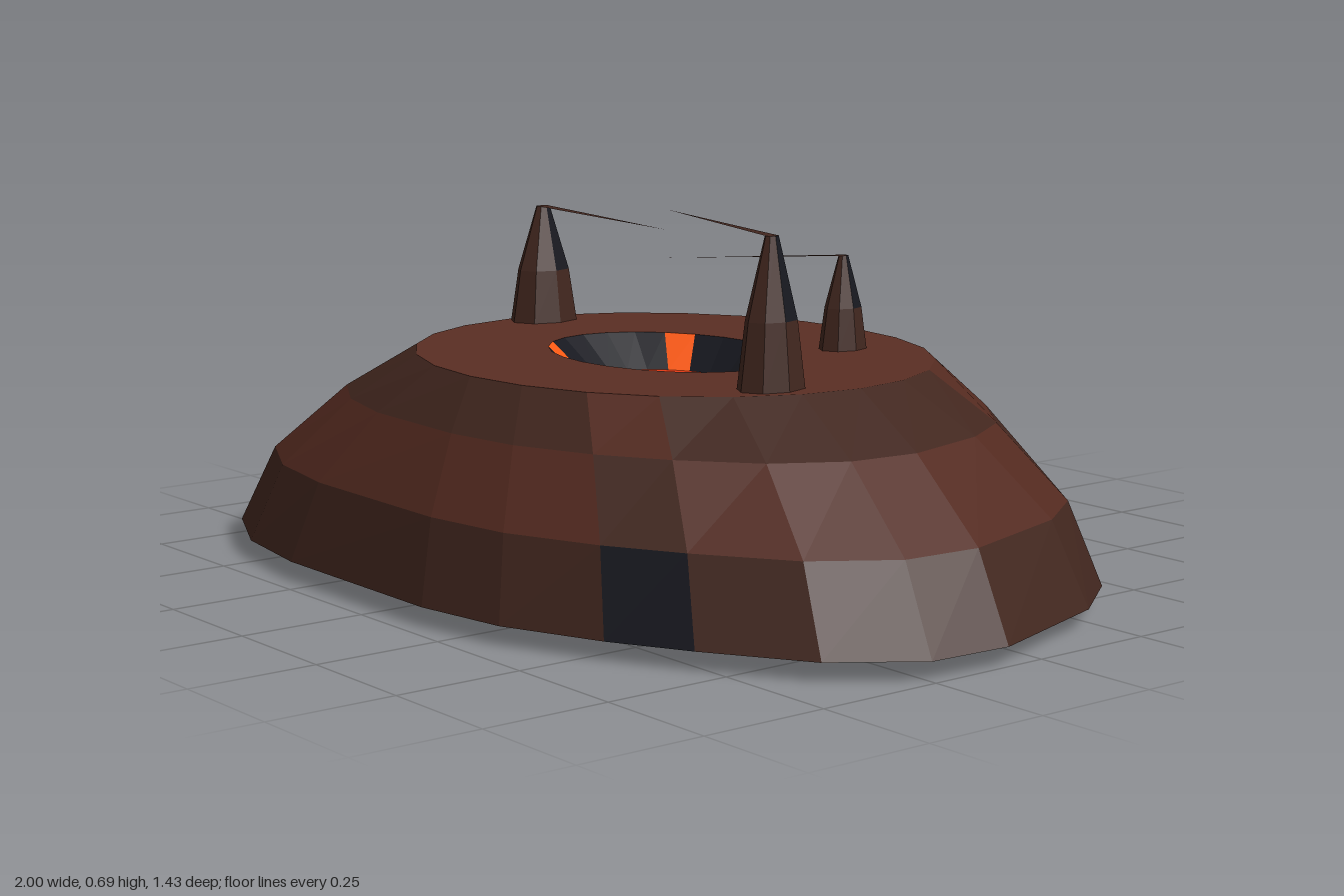
import * as THREE from 'three';

const V = (x, y, z) => new THREE.Vector3(x, y, z);
const mat = (color) => new THREE.MeshStandardMaterial({ color, flatShading: true, side: THREE.DoubleSide });
const M = {
  top: mat(0x5a2e23), light: mat(0x52291f), dark: mat(0x41261e), base: mat(0x2c1613),
  obsidian: mat(0x17181f), lava: mat(0xe63a14), glow: mat(0xff5a14),
};

// Ring of points on an ellipse; angles run from +x towards +z
const ellipse = (n, cx, cz, rx, rz, y, start = 0) => Array.from({ length: n }, (_, i) => {
  const a = start + (i / n) * Math.PI * 2;
  return V(cx + rx * Math.cos(a), y, cz + rz * Math.sin(a));
});

// Faceted band between two closed rings, keeping only the segments that pass
function band(lower, upper, material, name, keep = () => true) {
  const n = lower.length, pos = [];
  const tri = (a, b, c) => {
    if (b.clone().sub(a).cross(c.clone().sub(a)).length() > 1e-9)
      for (const p of [a, b, c]) pos.push(p.x, p.y, p.z);
  };
  for (let i = 0; i < n; i++) {
    if (!keep(i)) continue;
    const j = (i + 1) % n;
    tri(lower[i], upper[i], lower[j]);
    tri(upper[i], upper[j], lower[j]);
  }
  const g = new THREE.BufferGeometry();
  g.setAttribute('position', new THREE.Float32BufferAttribute(pos, 3));
  g.computeVertexNormals();
  const mesh = new THREE.Mesh(g, material);
  mesh.name = name;
  return mesh;
}

// Rock spike with a flat sliver reaching from its tip to the crater axis
function spike(x, z, rx, rz, topY) {
  const g = new THREE.Group();
  g.name = 'rockSpike';
  const baseY = 0.41, h = topY - baseY;
  const ring = (s, t) => ellipse(8, x, z, rx * s, rz * s, baseY + h * t);
  const foot = ring(1, 0), mid = ring(0.76, 0.46), tip = ring(0.2, 1);
  const marked = (i) => i % 4 === 3;
  g.add(band(foot, mid, M.dark, 'spikeLower'));
  g.add(band(mid, tip, M.dark, 'spikeUpper', (i) => !marked(i)));
  g.add(band(mid, tip, M.obsidian, 'spikeGlassFacet', marked));
  g.add(band(tip, ring(0, 1), M.dark, 'spikeTip'));

  const end = V(-0.015, topY, 0.025), from = V(x, topY, z);
  const side = end.clone().sub(from).cross(V(0, 1, 0)).setLength(0.2 * (rx + rz) / 2);
  const tri = new THREE.BufferGeometry().setFromPoints([from.clone().add(side), end, from.clone().sub(side)]);
  tri.computeVertexNormals();
  const sliver = new THREE.Mesh(tri, M.dark);
  sliver.name = 'tipSliver';
  g.add(sliver);
  return g;
}

export function createModel() {
  const root = new THREE.Group();
  root.name = 'volcanicMound';
  const N = 24, start = Math.PI / 4;
  const special = (i) => i % 6 === 0, plain = (i) => !special(i);

  // Irregular footprint (x, z), beginning at the front left
  const outline = [
    [0.69, 0.52], [0.54, 0.60], [0.34, 0.68], [0.14, 0.71], [-0.32, 0.705], [-0.53, 0.67],
    [-0.72, 0.58], [-0.84, 0.43], [-0.95, 0.28], [-1, 0.12], [-0.97, -0.04], [-0.83, -0.32],
    [-0.74, -0.47], [-0.57, -0.59], [-0.36, -0.66], [-0.15, -0.71], [0.07, -0.72], [0.28, -0.67],
    [0.54, -0.52], [0.79, -0.37], [0.90, -0.22], [1, 0.08], [0.99, 0.25], [0.88, 0.40],
  ];
  const foot = outline.map(([x, z]) => V(x, 0.035, z));
  const plateau = ellipse(N, -0.012, 0.014, 0.555, 0.48, 0.415, start);
  const between = (t, y) => foot.map((p, i) => p.clone().lerp(plateau[i], t).setY(y));
  const rings = [foot, between(0.2, 0.19), between(0.61, 0.325), plateau];

  // Sloping flanks, three tiers with contrasting panels
  const tiers = [[M.dark, M.obsidian], [M.light, M.dark], [M.dark, M.light]];
  tiers.forEach(([main, accent], k) => {
    root.add(band(rings[k], rings[k + 1], main, 'flank', plain));
    root.add(band(rings[k], rings[k + 1], accent, 'flankPanel', special));
  });

  // Shallow conical underside
  const point = (x, y, z) => ellipse(N, x, z, 0, 0, y);
  root.add(band(point(0, 0, 0.02), foot, M.base, 'underside'));

  // Plateau, crater wall with glowing cracks, lava pool
  const rim = ellipse(N, -0.015, 0.022, 0.278, 0.208, 0.415, start);
  const pool = ellipse(N, -0.015, 0.022, 0.188, 0.15, 0.35, start);
  root.add(band(plateau, rim, M.top, 'plateau'));
  root.add(band(rim, pool, M.obsidian, 'craterWall', plain));
  root.add(band(rim, pool, M.glow, 'lavaCrack', special));
  root.add(band(pool, point(-0.015, 0.35, 0.022), M.lava, 'lavaPool'));

  // Spikes around the crater
  root.add(spike(-0.515, -0.04, 0.06, 0.078, 0.655));
  root.add(spike(0.17, -0.272, 0.041, 0.054, 0.6));
  root.add(spike(0.442, 0.143, 0.053, 0.072, 0.695));
  return root;
}
